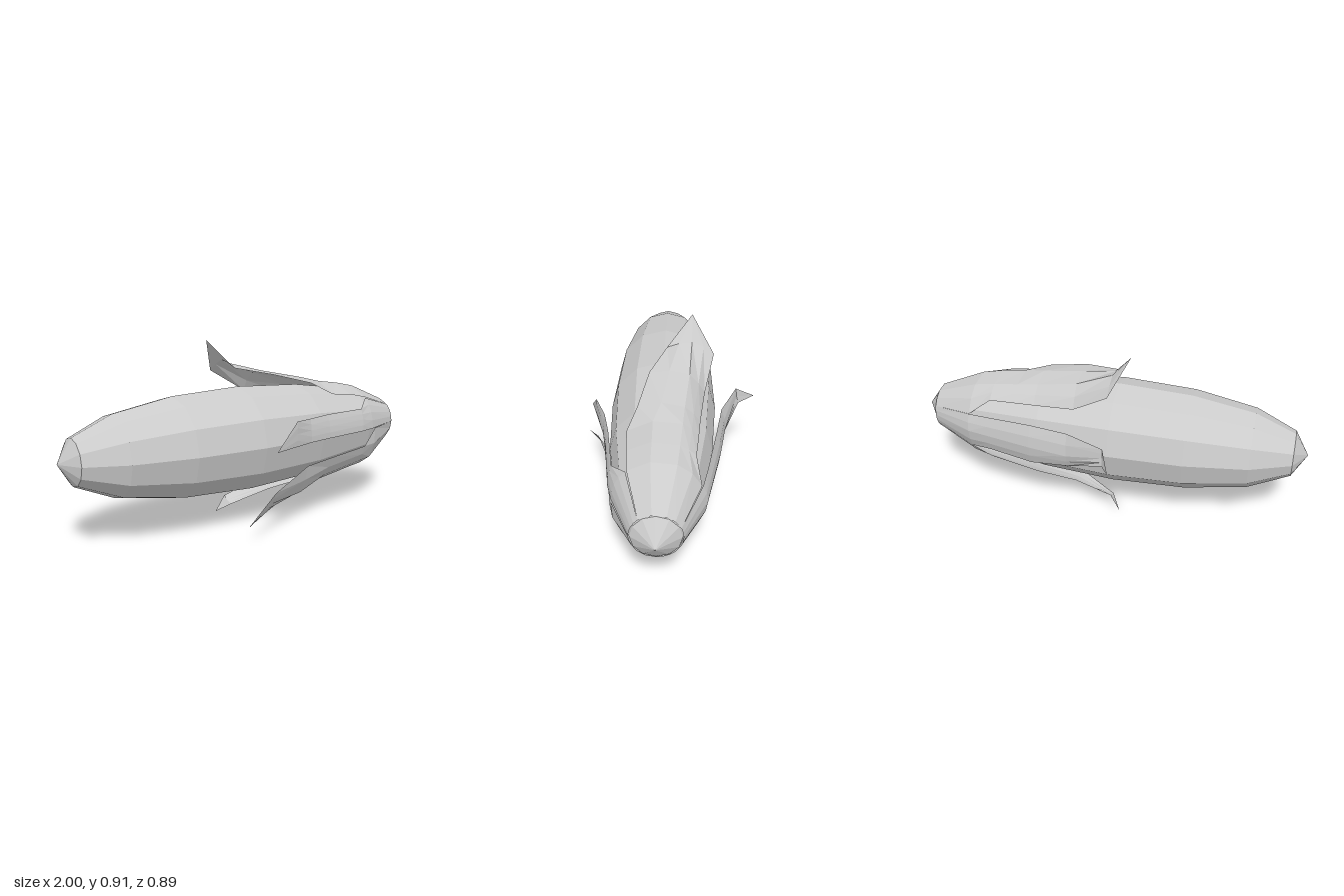
import * as THREE from 'three';

const CENTRE_Y = 0.42, CENTRE_Z = 0.02;
const material = new THREE.MeshStandardMaterial({ color: 0xcccccc, flatShading: true, side: THREE.DoubleSide });

// Leaf lofted from sections [x, edge angle, edge radius, mid angle, mid radius, edge angle, edge radius];
// angles in degrees around the long axis, 0 = back, 90 = up
function makeLeaf(name, sections) {
  const across = 4, positions = [], index = [];
  for (const [x, a0, r0, a1, r1, a2, r2] of sections) {
    for (let i = 0; i <= across; i++) {
      const t = i / (across / 2);
      const a = t < 1 ? a0 + (a1 - a0) * t : a1 + (a2 - a1) * (t - 1);
      const r = t < 1 ? r0 + (r1 - r0) * t : r1 + (r2 - r1) * (t - 1);
      const rad = THREE.MathUtils.degToRad(a);
      positions.push(x, CENTRE_Y + r * Math.sin(rad), CENTRE_Z - r * Math.cos(rad));
    }
  }
  const row = across + 1;
  for (let s = 0; s < sections.length - 1; s++) {
    for (let i = 0; i < across; i++) {
      const p = s * row + i, q = p + row;
      index.push(p, q, p + 1, p + 1, q, q + 1);
    }
  }
  const geometry = new THREE.BufferGeometry();
  geometry.setAttribute('position', new THREE.Float32BufferAttribute(positions, 3));
  geometry.setIndex(index);
  geometry.computeVertexNormals();
  const mesh = new THREE.Mesh(geometry, material);
  mesh.name = name;
  return mesh;
}

export function createModel() {
  const group = new THREE.Group();
  group.name = 'cobWithHusk';

  // Twelve-sided spindle lying along x
  const profile = [[0, -1], [0.112, -0.93], [0.198, -0.73], [0.25, -0.42], [0.265, -0.05],
    [0.245, 0.32], [0.19, 0.69], [0.112, 0.92], [0, 1]];
  const cobGeometry = new THREE.LatheGeometry(profile.map(([r, x]) => new THREE.Vector2(r, x)), 12);
  cobGeometry.rotateZ(-Math.PI / 2);
  const cob = new THREE.Mesh(cobGeometry, material);
  cob.name = 'cob';
  cob.position.set(0, CENTRE_Y, CENTRE_Z);
  group.add(cob);

  // Five husk leaves, each from its base at +x to its peeled tip
  group.add(makeLeaf('topLeaf', [
    [0.92, 130, 0.116, 67, 0.116, 24, 0.116],
    [0.69, 130, 0.21, 67, 0.216, 24, 0.21],
    [0.58, 128, 0.235, 67, 0.24, 45, 0.235],
    [0.45, 127, 0.25, 67, 0.265, 45, 0.25],
    [0.34, 112, 0.283, 67, 0.284, 45, 0.26],
    [0.13, 101, 0.323, 67, 0.335, 45, 0.29],
    [-0.05, 87, 0.355, 70, 0.41, 52, 0.405],
    [-0.14, 74, 0.51, 74, 0.51, 74, 0.51],
  ]));
  group.add(makeLeaf('backLeaf', [
    [0.92, 24, 0.116, 0, 0.116, -30, 0.116],
    [0.69, 24, 0.215, 0, 0.22, -30, 0.215],
    [0.58, 24, 0.24, 0, 0.24, -24, 0.235],
    [0.34, 24, 0.285, 0, 0.285, -22, 0.28],
    [0.14, 22, 0.312, 0, 0.312, -14, 0.298],
    [-0.06, 17, 0.385, 10, 0.38, 4, 0.385],
    [-0.11, 5, 0.468, 5, 0.468, 5, 0.468],
  ]));
  group.add(makeLeaf('bottomLeaf', [
    [0.92, -30, 0.116, -60, 0.116, -90, 0.116],
    [0.69, -30, 0.215, -60, 0.22, -90, 0.225],
    [0.6, -42, 0.24, -65, 0.24, -90, 0.245],
    [0.34, -48, 0.281, -68, 0.277, -90, 0.281],
    [0.15, -66, 0.306, -78, 0.305, -90, 0.298],
    [-0.04, -68, 0.36, -73, 0.37, -79, 0.373],
    [-0.09, -71, 0.441, -71, 0.441, -71, 0.441],
  ]));
  group.add(makeLeaf('lowerFrontLeaf', [
    [0.92, 180, 0.116, 225, 0.116, 270, 0.116],
    [0.71, 180, 0.205, 225, 0.235, 270, 0.235],
    [0.62, 201, 0.24, 225, 0.25, 250, 0.245],
    [0.36, 202, 0.28, 226, 0.29, 247, 0.284],
    [0.18, 202, 0.312, 229, 0.351, 248, 0.331],
    [-0.06, 210, 0.403, 220, 0.41, 230, 0.416],
    [-0.27, 216.4, 0.526, 216.4, 0.526, 216.4, 0.526],
  ]));
  group.add(makeLeaf('frontLeaf', [
    [0.92, 130, 0.116, 155, 0.116, 180, 0.116],
    [0.69, 132, 0.21, 156, 0.21, 180, 0.208],
    [0.6, 151, 0.239, 165, 0.235, 180, 0.232],
    [0.34, 154, 0.275, 167, 0.27, 180, 0.266],
    [0.2, 157, 0.301, 168, 0.295, 180, 0.29],
    [0.08, 159, 0.352, 169, 0.335, 180, 0.325],
    [-0.07, 180, 0.37, 180, 0.37, 180, 0.37],
  ]));
  return group;
}
